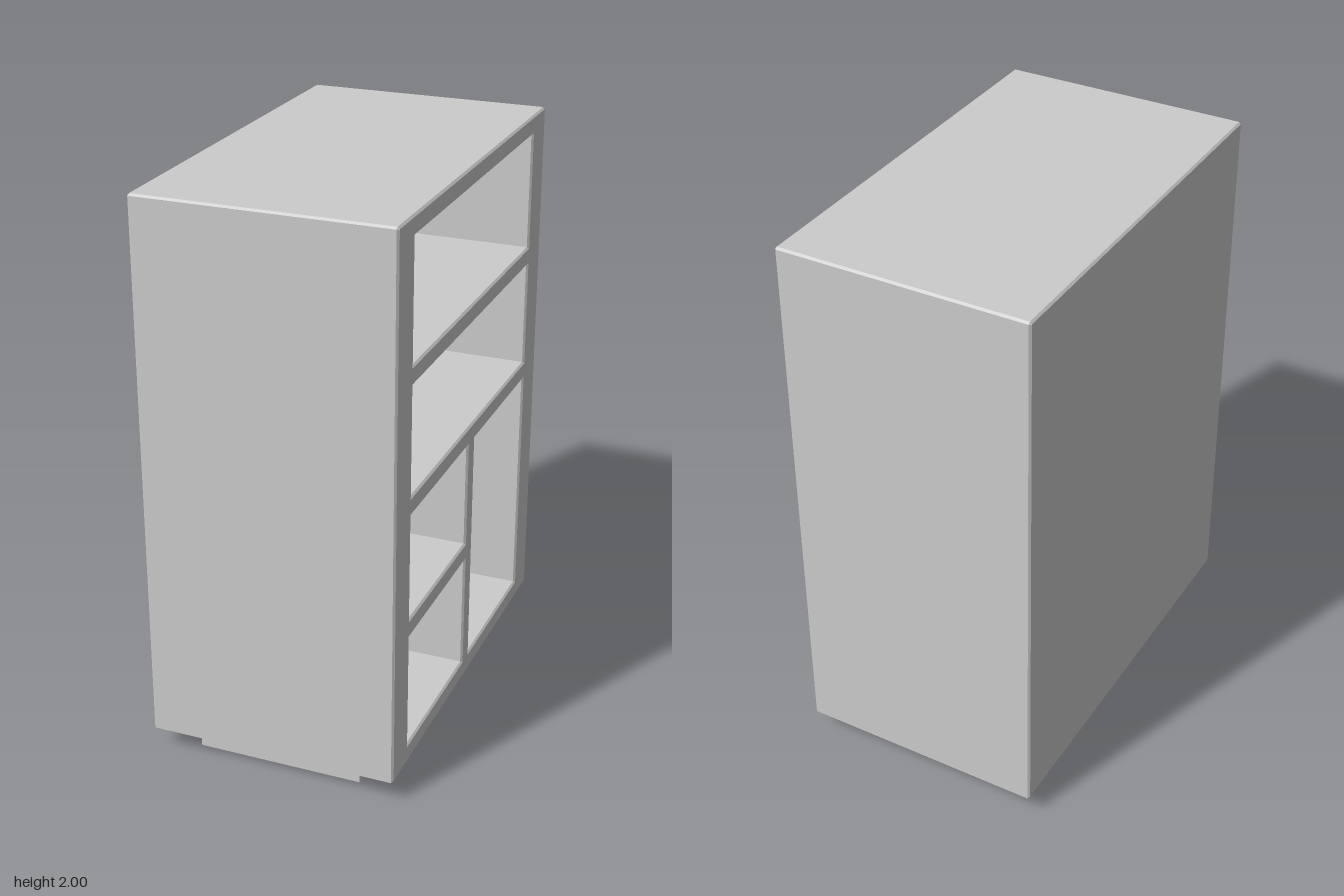
import * as THREE from 'three';

const W = 0.442, D = 0.737, Y0 = 0.08, Y1 = 2, B = 0.007; // half width, half depth, body bottom/top, chamfer
const material = new THREE.MeshStandardMaterial({ color: 0xcccccc, flatShading: true });

// Side outline of the cabinet with chamfered top corners
function outline() {
  return new THREE.Shape([
    [-D, Y0], [D, Y0], [D, Y1 - B], [D - B, Y1], [-D + B, Y1], [-D, Y1 - B],
  ].map(([u, v]) => new THREE.Vector2(u, v)));
}

function rectHole(u0, u1, v0, v1) {
  return new THREE.Path([[u0, v0], [u0, v1], [u1, v1], [u1, v0]].map(([u, v]) => new THREE.Vector2(u, v)));
}

// Extrude a side outline between two x positions, with chamfered rims
function slab(name, shape, x0, x1) {
  const g = new THREE.ExtrudeGeometry(shape, {
    depth: x1 - x0 - 2 * B, bevelEnabled: true, bevelSegments: 1,
    bevelSize: B, bevelThickness: B, bevelOffset: -B,
  });
  g.rotateY(Math.PI / 2);
  g.translate(x0 + B, 0, 0);
  const mesh = new THREE.Mesh(g, material);
  mesh.name = name;
  return mesh;
}

export function createModel() {
  const group = new THREE.Group();
  group.name = 'shelfCabinet';

  // Shelf frame with five open compartments facing +x
  const frame = outline();
  frame.holes = [
    [-0.598, 0.598, 1.519, 1.932],
    [-0.598, 0.598, 1.073, 1.452],
    [-0.598, -0.037, 0.629, 1.006],
    [-0.598, -0.037, 0.147, 0.562],
    [0.033, 0.598, 0.147, 1.006],
  ].map((r) => rectHole(...r));
  group.add(slab('shelfFrame', frame, -W + 0.03, W));

  // Closed back panel, overlapping the rear of the frame
  group.add(slab('backPanel', outline(), -W, -W + 0.06));

  // Two runner feet
  for (const s of [1, -1]) {
    const foot = new THREE.Mesh(new THREE.BoxGeometry(0.59, Y0, 0.07), material);
    foot.name = s > 0 ? 'frontFoot' : 'backFoot';
    foot.position.set(0, Y0 / 2, s * 0.632);
    group.add(foot);
  }
  return group;
}
